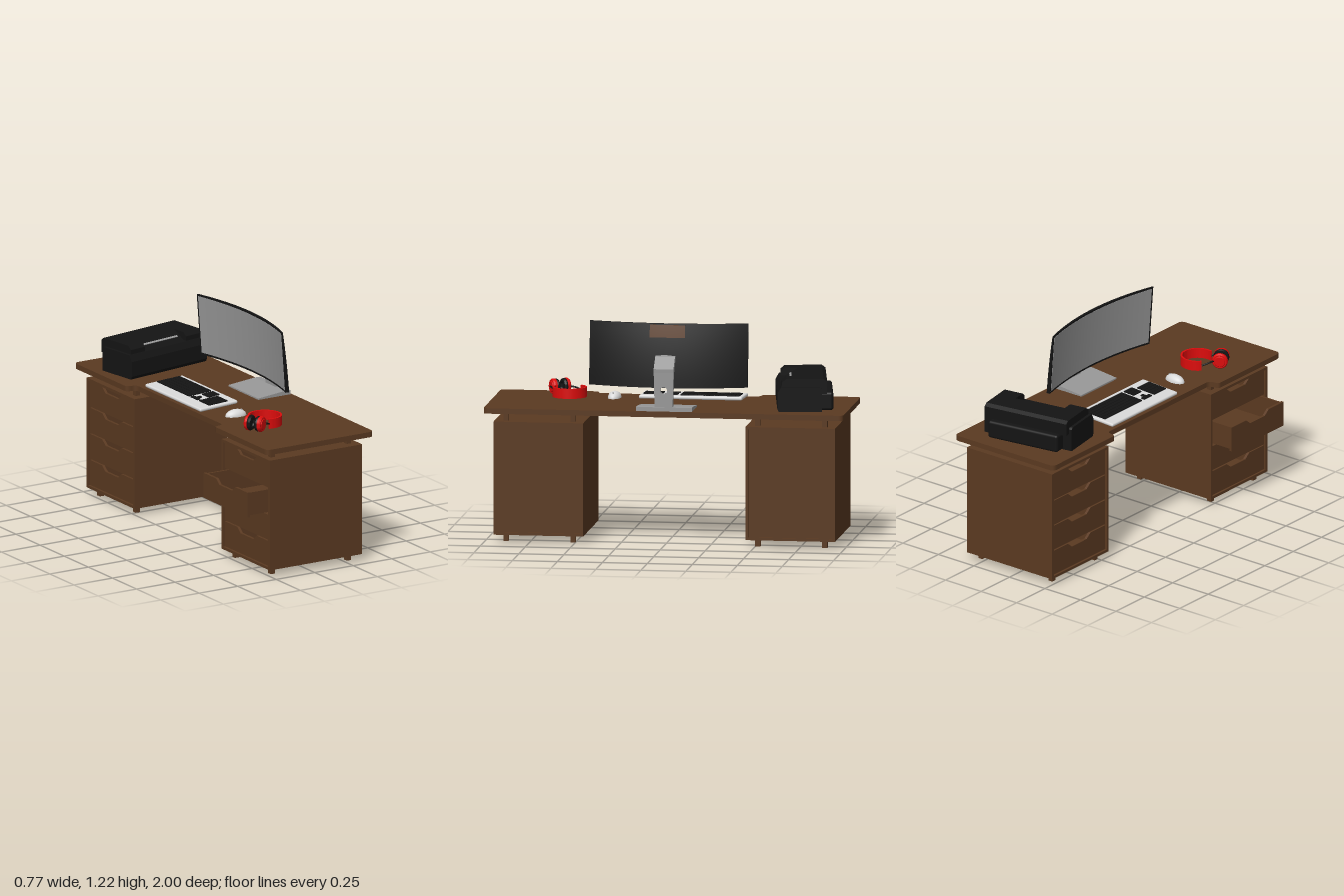
import * as THREE from 'three';
import { mergeGeometries, toCreasedNormals } from 'three/addons/utils/BufferGeometryUtils.js';
import { RoundedBoxGeometry } from 'three/addons/geometries/RoundedBoxGeometry.js';

const mat = (name, color) => {
  const m = new THREE.MeshStandardMaterial({ color });
  m.name = name;
  return m;
};

export function createModel() {
  const wood = mat('wood', 0x5b3a21), black = mat('black', 0x141414), grey = mat('grey', 0x989898);
  const white = mat('white', 0xdadada), red = mat('red', 0xdc0c0c);
  const model = new THREE.Group();
  model.name = 'desk';

  const group = (name, parent = model) => {
    const g = new THREE.Group();
    g.name = name;
    parent.add(g);
    return g;
  };
  const add = (parent, name, geo, material) => {
    const m = new THREE.Mesh(geo, material);
    m.name = name;
    parent.add(m);
    return m;
  };
  // Box from its limits on each axis
  const boxGeo = (x0, x1, y0, y1, z0, z1) =>
    new THREE.BoxGeometry(x1 - x0, y1 - y0, z1 - z0).translate((x0 + x1) / 2, (y0 + y1) / 2, (z0 + z1) / 2);
  const shapeOf = pts => new THREE.Shape(pts.map(p => new THREE.Vector2(p[0], p[1])));
  const extrude = (shape, depth) =>
    new THREE.ExtrudeGeometry(shape, { depth, bevelEnabled: false, curveSegments: 24 });
  // Outline in (z, y) run along x
  const alongX = (shape, x0, x1) => extrude(shape, x1 - x0).rotateY(-Math.PI / 2).translate(x1, 0, 0);
  // Outline in (x, z) run down from yTop
  const down = (shape, yTop, h) => extrude(shape, h).rotateX(Math.PI / 2).translate(0, yTop, 0);

  // Desktop with rounded corners and a cut-out on the sitter's side
  const t = new THREE.Shape();
  t.moveTo(-0.28, -1).lineTo(0.355, -1).quadraticCurveTo(0.385, -1, 0.385, -0.97);
  t.lineTo(0.385, 0.97).quadraticCurveTo(0.385, 1, 0.355, 1);
  t.lineTo(-0.28, 1).quadraticCurveTo(-0.31, 1, -0.31, 0.97);
  t.lineTo(-0.31, 0.475).quadraticCurveTo(-0.31, 0.455, -0.28, 0.452).quadraticCurveTo(-0.25, 0.45, -0.25, 0.42);
  t.lineTo(-0.25, -0.42).quadraticCurveTo(-0.25, -0.45, -0.28, -0.452).quadraticCurveTo(-0.31, -0.455, -0.31, -0.475);
  t.lineTo(-0.31, -0.97).quadraticCurveTo(-0.31, -1, -0.28, -1);
  add(model, 'desktop', down(t, 0.75, 0.03), wood);

  // Drawer with a scooped front; x is the outer face of the front
  function drawer(parent, name, x, y, z) {
    const g = group(name, parent), w = 0.228, h = 0.143;
    const front = shapeOf([[-w, 0], [w, 0], [w, h], [0.1, h], [0.065, h - 0.028],
      [-0.065, h - 0.028], [-0.1, h], [-w, h]]);
    add(g, 'drawerFront', alongX(front, 0, 0.015), wood);
    add(g, 'drawerBottom', boxGeo(0.015, 0.45, 0.01, 0.02, -w + 0.005, w - 0.005), wood);
    for (const s of [-1, 1])
      add(g, 'drawerSide', boxGeo(0.015, 0.45, 0.01, h - 0.003, s * 0.217 - 0.006, s * 0.217 + 0.006), wood);
    add(g, 'drawerBack', boxGeo(0.44, 0.45, 0.01, h - 0.003, -w + 0.01, w - 0.01), wood);
    g.position.set(x, y, z);
  }

  // Two drawer cabinets with posts above and below
  for (const s of [-1, 1]) {
    const c = group(s > 0 ? 'leftCabinet' : 'rightCabinet');
    c.position.z = s * 0.7;
    for (const e of [-1, 1])
      add(c, 'cabinetSide', boxGeo(-0.26, 0.34, 0.04, 0.67, e * 0.241 - 0.008, e * 0.241 + 0.008), wood);
    add(c, 'cabinetTop', boxGeo(-0.26, 0.34, 0.655, 0.67, -0.234, 0.234), wood);
    add(c, 'cabinetBottom', boxGeo(-0.26, 0.34, 0.04, 0.055, -0.234, 0.234), wood);
    add(c, 'cabinetBack', boxGeo(0.315, 0.33, 0.055, 0.655, -0.234, 0.234), wood);
    for (let i = 0; i < 4; i++)
      drawer(c, 'drawer', s > 0 && i === 2 ? -0.39 : -0.252, 0.058 + i * 0.15, 0);
    for (const x of [-0.208, 0.285]) for (const z of [-0.186, 0.186]) {
      add(c, 'foot', boxGeo(x - 0.014, x + 0.014, 0, 0.04, z - 0.014, z + 0.014), wood);
      add(c, 'post', boxGeo(x - 0.014, x + 0.014, 0.67, 0.72, z - 0.014, z + 0.014), wood);
    }
  }

  // Curved, slightly tilted monitor
  const monitor = group('monitor');
  const front = (y, z) => 0.162 - 0.075 * (y - 0.87) + 0.058 * (1 - (z / 0.44) ** 2);
  const back = (y, z) => {
    const k = Math.min(1, Math.max(0, (y - 0.865) / 0.35));
    return front(y, z) + (0.015 + 0.03 * (1 - k * k)) * (1 - 0.5 * (z / 0.44) ** 2);
  };
  function curved(name, y0, y1, w, fx, bx, material) {
    const geo = new THREE.BoxGeometry(1, 1, 1, 1, 8, 24), p = geo.attributes.position;
    for (let i = 0; i < p.count; i++) {
      const y = y0 + (p.getY(i) + 0.5) * (y1 - y0), z = p.getZ(i) * 2 * w;
      p.setXYZ(i, p.getX(i) < 0 ? fx(y, z) : bx(y, z), y, z);
    }
    geo.computeVertexNormals();
    add(monitor, name, geo, material);
  }
  curved('monitorShell', 0.865, 1.215, 0.44, front, back, black);
  curved('screen', 0.877, 1.205, 0.43, (y, z) => front(y, z) - 0.002, (y, z) => front(y, z) + 0.003, grey);
  curved('backPlate', 1.14, 1.208, 0.098, (y, z) => back(y, z) - 0.003, (y, z) => back(y, z) + 0.003, wood);

  // Monitor stand: wedge base, column with a cable hole, bent arm
  const stand = group('monitorStand');
  add(stand, 'standBase', extrude(shapeOf([[0.165, 0.751], [0.375, 0.751], [0.375, 0.774],
    [0.335, 0.775], [0.165, 0.759]]), 0.31).translate(0, 0, -0.158), grey);
  const column = shapeOf([[-0.05, 0.77], [0.05, 0.77], [0.055, 0.97], [-0.055, 0.97]]);
  const hole = new THREE.Path();
  hole.absarc(0, 0.865, 0.02, 0, Math.PI * 2, true);
  column.holes.push(hole);
  add(stand, 'standColumn', alongX(column, 0.337, 0.367), grey);
  add(stand, 'standArm', extrude(shapeOf([[0.337, 0.965], [0.368, 0.965], [0.369, 0.985], [0.305, 1.045],
    [0.285, 1.049], [0.285, 1.028]]), 0.11).translate(0, 0, -0.055), grey);
  add(stand, 'standNeck', boxGeo(0.235, 0.295, 1.022, 1.045, -0.03, 0.03), grey);

  // Printer, turned a little on the desk
  const printer = group('printer');
  printer.position.set(0.025, 0.75, -0.725);
  printer.rotation.y = 0.16;
  add(printer, 'printerBody', alongX(shapeOf([[-0.1, 0.003], [0.137, 0.003], [0.145, 0.02], [0.145, 0.105],
    [0.125, 0.14], [-0.09, 0.14], [-0.1, 0.13]]), -0.275, 0.275), black);
  add(printer, 'printerRear', new RoundedBoxGeometry(0.44, 0.102, 0.12, 3, 0.015).translate(0, 0.054, -0.105), black);
  const lidEnd = shapeOf([[-0.13, 0.1], [0.12, 0.12], [0.118, 0.165], [0.095, 0.185], [-0.11, 0.185], [-0.13, 0.17]]);
  add(printer, 'lidEnd', alongX(lidEnd, -0.258, -0.155), black);
  add(printer, 'lidEnd', alongX(lidEnd, 0.145, 0.258), black);
  add(printer, 'lidMiddle', alongX(shapeOf([[-0.13, 0.1], [0.13, 0.1], [0.13, 0.12], [0.02, 0.185],
    [-0.11, 0.185], [-0.13, 0.17]]), -0.155, 0.145), black);
  const slot = add(printer, 'paperSlot', new THREE.BoxGeometry(0.265, 0.004, 0.012), grey);
  slot.position.set(-0.005, 0.159, 0.066);
  slot.rotation.x = 0.534;

  // Keyboard, raised toward the monitor
  const keyboard = group('keyboard');
  keyboard.position.set(-0.235, 0.752, -0.0975);
  keyboard.rotation.z = 0.05;
  add(keyboard, 'keyboardBody', new RoundedBoxGeometry(0.245, 0.02, 0.575, 3, 0.009).translate(0.1225, 0.01, 0), white);
  const keys = [], key = (row, z, len = 0.0215) =>
    keys.push(boxGeo(0.069 + row * 0.0245, 0.0915 + row * 0.0245, 0.019, 0.026, z, z + len));
  for (let r = 0; r < 6; r++) {
    for (let i = 0; i < 14; i++) if (r > 0 || i < 3 || i > 9) key(r, -0.268 + i * 0.0235);
    for (let i = 0; i < 3; i++)
      if (r > 2 || r === 0 || (r === 1 && i === 1)) key(r, 0.078 + i * 0.0235);
    if (r < 5) for (let i = 0; i < 4; i++) key(r, 0.166 + i * 0.0265, 0.0235);
  }
  key(0, -0.197, 0.162);
  add(keyboard, 'keys', mergeGeometries(keys), black);

  // Mouse
  const mouse = group('mouse');
  mouse.position.set(-0.098, 0.75, 0.338);
  mouse.rotation.y = -0.08;
  add(mouse, 'mouseBody', new THREE.SphereGeometry(1, 32, 12, 0, Math.PI * 2, 0, Math.PI / 2)
    .scale(0.063, 0.037, 0.036), white);
  add(mouse, 'mouseWheel', new THREE.CylinderGeometry(0.01, 0.01, 0.007, 16).rotateX(Math.PI / 2)
    .translate(0.035, 0.025, 0), grey);

  // Headphones lying on their side
  const phones = group('headphones');
  const arc = new THREE.Shape(), rad = THREE.MathUtils.degToRad;
  arc.absarc(0, 0, 0.095, rad(-142), rad(108), false);
  arc.absarc(0, 0, 0.084, rad(108), rad(-142), true);
  add(phones, 'headband', toCreasedNormals(down(arc, 0.812, 0.055), 0.6).translate(-0.062, 0, 0.583), red);
  const cups = [[-0.188, 0.622, 1, [-0.135, 0.527]], [-0.152, 0.682, -1, [-0.09, 0.671]]];
  for (const [x, z, side, end] of cups) {
    const cup = group('earCup', phones);
    cup.position.set(x, 0.797, z);
    cup.rotation.y = Math.atan2(0.53, 0.85) + (side < 0 ? Math.PI : 0);
    // Turned shell and pad, the pad facing the other cup
    const turned = pts => toCreasedNormals(new THREE.LatheGeometry(pts.map(p => new THREE.Vector2(p[0], p[1])), 32)
      .rotateX(Math.PI / 2), 0.6);
    add(cup, 'cupShell', turned([[0, -0.02], [0.028, -0.02], [0.031, -0.016], [0.038, -0.016],
      [0.044, -0.008], [0.044, 0.004], [0, 0.004]]), red);
    add(cup, 'earPad', turned([[0, 0.004], [0.042, 0.004], [0.044, 0.012], [0.038, 0.022], [0.025, 0.022],
      [0.022, 0.012], [0, 0.012]]), black);
    const path = new THREE.CatmullRomCurve3([new THREE.Vector3(end[0], 0.785, end[1]),
      new THREE.Vector3((end[0] + x) / 2 + 0.005, 0.795, (end[1] + z) / 2 - side * 0.012),
      new THREE.Vector3(x + 0.02, 0.8, z - side * 0.018)]);
    add(phones, 'cupArm', new THREE.TubeGeometry(path, 12, 0.005, 8), black);
  }
  return model;
}
